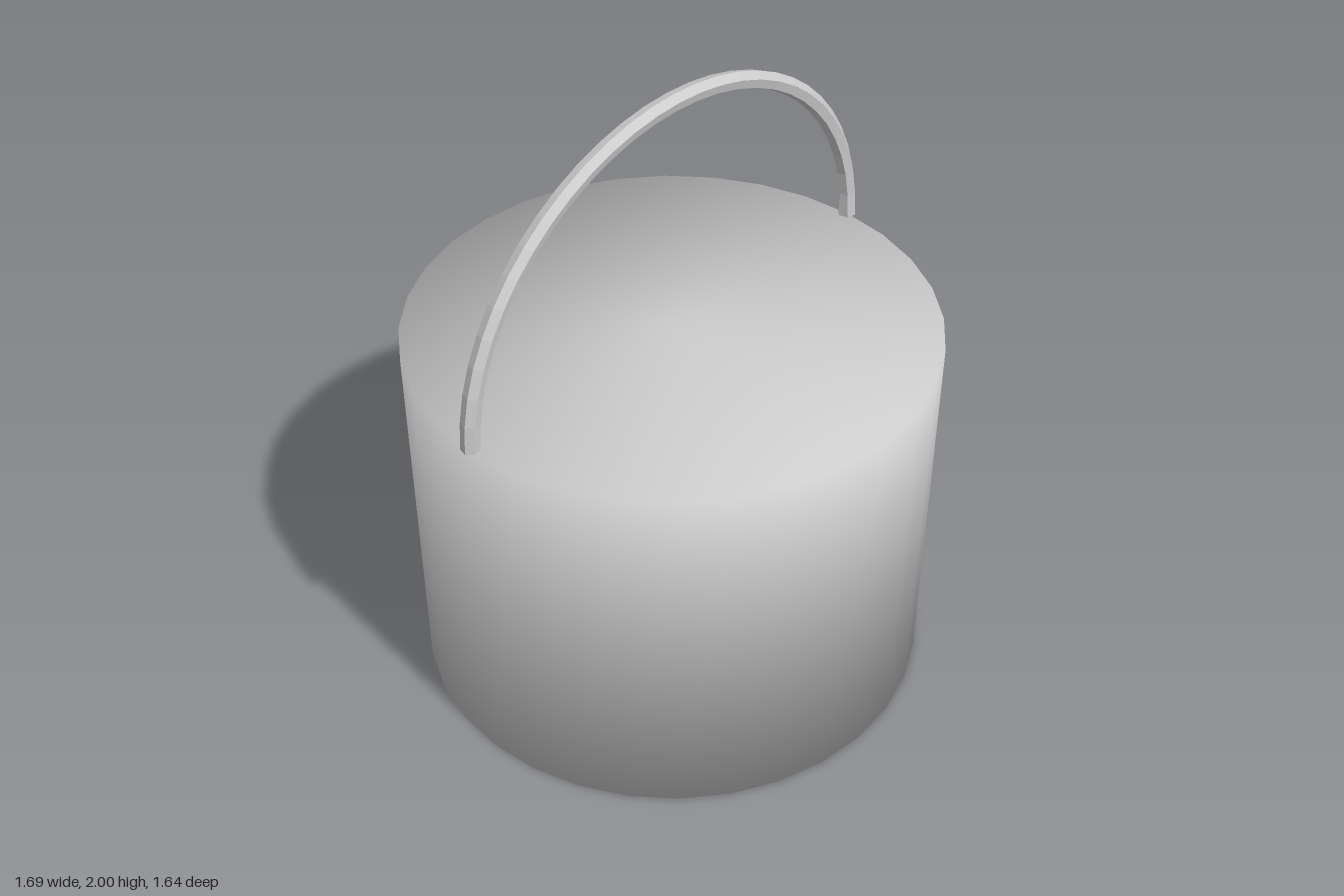
import * as THREE from 'three';
import { mergeVertices } from 'three/addons/utils/BufferGeometryUtils.js';

const TOP_RADIUS = 0.818, BOTTOM_RADIUS = 0.803, HEIGHT = 1.207;

// Closed drum whose rims share one soft normal between wall and lid
function softDrum() {
  const drum = new THREE.CylinderGeometry(TOP_RADIUS, BOTTOM_RADIUS, HEIGHT, 32, 1);
  drum.deleteAttribute('uv');
  drum.deleteAttribute('normal');
  const geometry = mergeVertices(drum, 1e-4);
  geometry.clearGroups();
  const position = geometry.attributes.position;
  const normals = new Float32Array(position.count * 3);
  const n = new THREE.Vector3();
  for (let i = 0; i < position.count; i++) {
    const up = Math.sign(position.getY(i));
    const radius = up > 0 ? TOP_RADIUS : BOTTOM_RADIUS;
    n.set(position.getX(i) / radius, up, position.getZ(i) / radius).normalize();
    n.toArray(normals, i * 3);
  }
  geometry.setAttribute('normal', new THREE.BufferAttribute(normals, 3));
  return geometry;
}

// Half-ellipse arch followed by the handle
class ArchCurve extends THREE.Curve {
  getPoint(t, target = new THREE.Vector3()) {
    const a = Math.PI * t;
    return target.set(0.817 * Math.cos(a), 1.21 + 0.762 * Math.sin(a), 0);
  }
}

// Faceted six-sided rod, turned slightly about its own axis
function archHandle() {
  const section = [];
  for (let i = 0; i < 6; i++) {
    const a = THREE.MathUtils.degToRad(-105 + i * 60);
    section.push(new THREE.Vector2(0.029 * Math.cos(a), 0.029 * Math.sin(a)));
  }
  return new THREE.ExtrudeGeometry(new THREE.Shape(section), {
    steps: 28,
    extrudePath: new ArchCurve(),
    bevelEnabled: false,
  });
}

export function createModel() {
  const group = new THREE.Group();
  group.name = 'bucket';
  const grey = new THREE.MeshStandardMaterial({ color: 0xcccccc });
  grey.name = 'light grey';

  const body = new THREE.Mesh(softDrum(), grey);
  body.name = 'bucketBody';
  body.position.y = HEIGHT / 2;

  const handle = new THREE.Mesh(archHandle(), grey);
  handle.name = 'handle';

  group.add(body, handle);
  return group;
}
